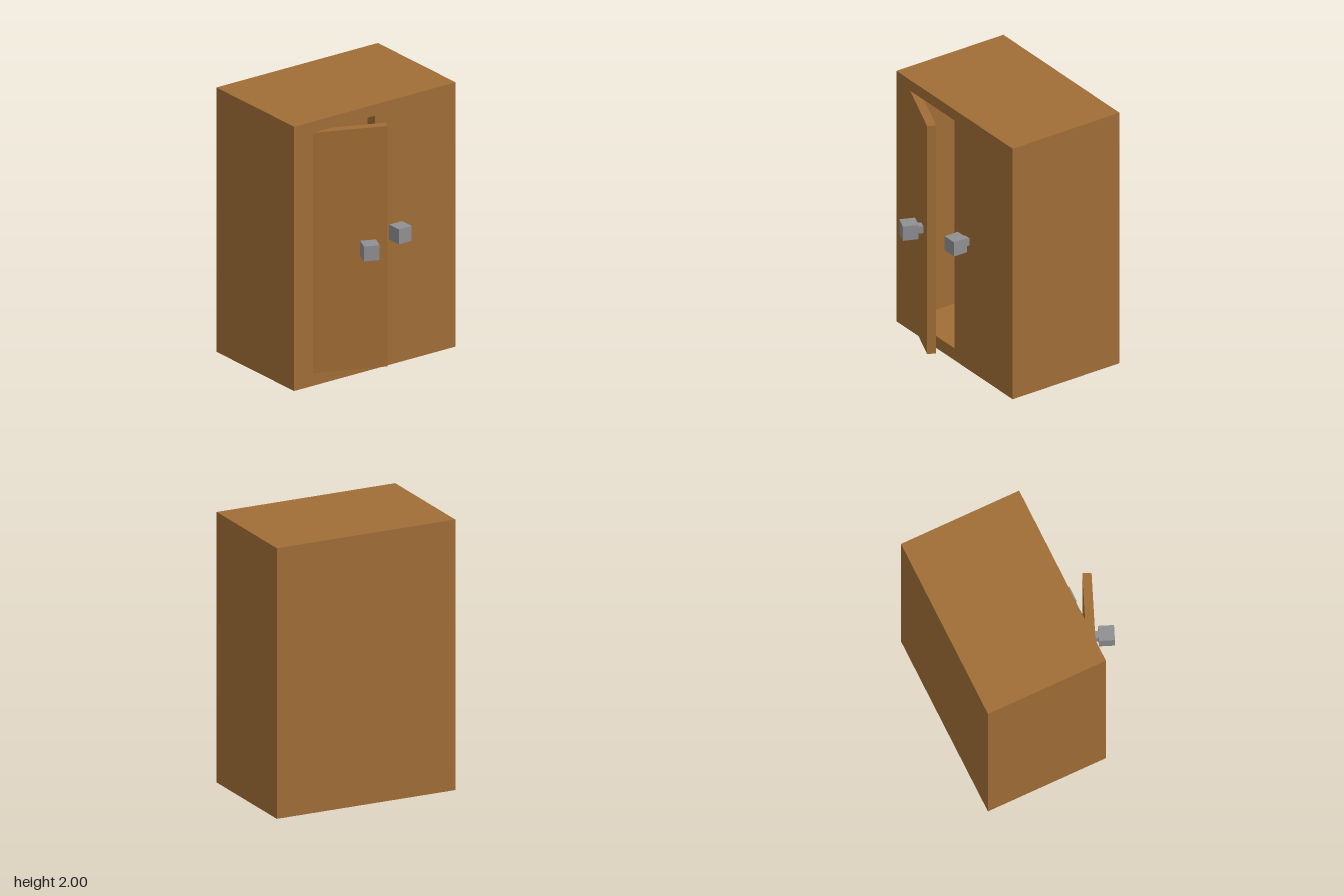
import * as THREE from 'three';

const wood = new THREE.MeshStandardMaterial({ name: 'brown wood', color: 0xa06d36 });
const metal = new THREE.MeshStandardMaterial({ name: 'grey metal', color: 0x909093 });

const BACK = -0.62, FRONT = 0.30, INNER_BACK = -0.52;
const HALF_WIDTH = 0.705, HEIGHT = 2;
const DOOR_WIDTH = 0.54, DOOR_BOTTOM = 0.095, DOOR_TOP = 1.915, DOOR_THICK = 0.065;

function box(name, material, size, position) {
  const mesh = new THREE.Mesh(new THREE.BoxGeometry(...size), material);
  mesh.name = name;
  mesh.position.set(...position);
  return mesh;
}

function rectangle(PathType, halfWidth, bottom, top) {
  const path = new PathType();
  path.moveTo(-halfWidth, bottom);
  path.lineTo(halfWidth, bottom);
  path.lineTo(halfWidth, top);
  path.lineTo(-halfWidth, top);
  path.closePath();
  return path;
}

// Hollow cabinet carcass, open towards +x
function createCabinet() {
  const cabinet = new THREE.Group();
  cabinet.name = 'cabinet';
  const outline = rectangle(THREE.Shape, HALF_WIDTH, 0, HEIGHT);
  outline.holes.push(rectangle(THREE.Path, DOOR_WIDTH, DOOR_BOTTOM, DOOR_TOP));
  const geometry = new THREE.ExtrudeGeometry(outline, { depth: FRONT - INNER_BACK, bevelEnabled: false });
  geometry.rotateY(Math.PI / 2);
  const shell = new THREE.Mesh(geometry, wood);
  shell.name = 'cabinetShell';
  shell.position.x = INNER_BACK;
  const backPanel = box('backPanel', wood, [INNER_BACK - BACK, HEIGHT, HALF_WIDTH * 2],
    [(INNER_BACK + BACK) / 2, HEIGHT / 2, 0]);
  cabinet.add(shell, backPanel);
  return cabinet;
}

// Door hinged at its outer edge; side is +1 or -1 along z
function createDoor(name, side, angle) {
  const door = new THREE.Group();
  door.name = name;
  door.position.set(FRONT, 0, side * DOOR_WIDTH);
  door.rotation.y = -side * angle;
  const handleZ = -side * 0.388, handleY = 1.025;
  door.add(
    box('doorPanel', wood, [DOOR_THICK, DOOR_TOP - DOOR_BOTTOM, DOOR_WIDTH],
      [-DOOR_THICK / 2, (DOOR_TOP + DOOR_BOTTOM) / 2, -side * DOOR_WIDTH / 2]),
    box('knobStem', metal, [0.04, 0.057, 0.057], [0.02, handleY, handleZ]),
    box('knob', metal, [0.113, 0.113, 0.113], [0.0965, handleY, handleZ])
  );
  return door;
}

export function createModel() {
  const model = new THREE.Group();
  model.name = 'cupboard';
  model.add(
    createCabinet(),
    createDoor('openDoor', 1, THREE.MathUtils.degToRad(22.5)),
    createDoor('closedDoor', -1, 0)
  );
  return model;
}
